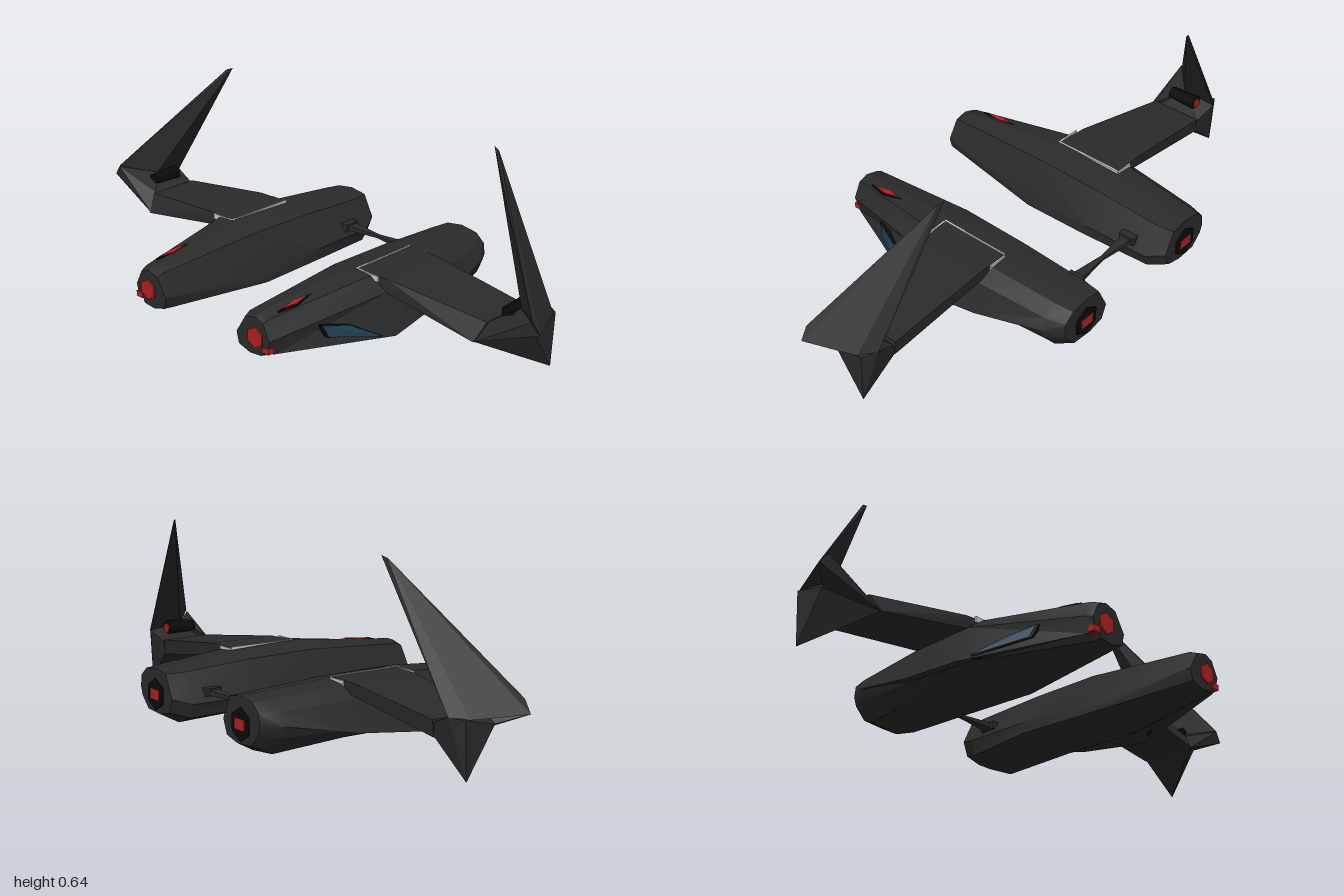
import * as THREE from 'three';
import { toCreasedNormals } from 'three/addons/utils/BufferGeometryUtils.js';
import { ConvexGeometry } from 'three/addons/geometries/ConvexGeometry.js';

const paint = (color) => new THREE.MeshStandardMaterial({ color });
const dark = paint(0x2b2b2b);
const black = paint(0x0b0b0b);
const red = paint(0xb02222);
const blue = paint(0x1f3d52);
const grey = paint(0xcccccc);

function add(parent, name, geometry, material, x = 0, y = 0, z = 0) {
  const mesh = new THREE.Mesh(geometry, material);
  mesh.name = name;
  mesh.position.set(x, y, z);
  parent.add(mesh);
  return mesh;
}

// Flat-faced solid around a few corner points
function solid(parent, name, points, material = dark) {
  return add(parent, name, new ConvexGeometry(points.map((p) => new THREE.Vector3(...p))), material);
}

// Skin through cross-sections listed from front to back, closed at both ends
function loft(sections) {
  const n = sections[0].ring.length;
  const last = sections.length - 1;
  const pos = [];
  const index = [];
  for (const { z, ring } of sections) for (const [x, y] of ring) pos.push(x, y, z);
  for (let i = 0; i < last; i++) {
    for (let j = 0; j < n; j++) {
      const a = i * n + j, b = i * n + (j + 1) % n;
      index.push(a, b, a + n, b, b + n, a + n);
    }
  }
  for (const i of [0, last]) {
    const { z, ring } = sections[i];
    const centre = pos.length / 3;
    pos.push(ring.reduce((s, p) => s + p[0], 0) / n, ring.reduce((s, p) => s + p[1], 0) / n, z);
    for (let j = 0; j < n; j++) {
      const a = i * n + j, b = i * n + (j + 1) % n;
      if (i === 0) index.push(centre, b, a);
      else index.push(centre, a, b);
    }
  }
  const geometry = new THREE.BufferGeometry();
  geometry.setAttribute('position', new THREE.Float32BufferAttribute(pos, 3));
  geometry.setIndex(index);
  return toCreasedNormals(geometry, 0.45);
}

// Rings run: inner top, ridge, outer top, shoulder, skirt, groove, belly, keel, inner edge, inner side
const hullSections = [
  { z: 0.505, ring: [[0.21, 0.165], [0.255, 0.177], [0.29, 0.165], [0.318, 0.11], [0.305, 0.065], [0.29, 0.075], [0.28, 0.05], [0.23, 0.045], [0.18, 0.06], [0.17, 0.1]] },
  { z: 0.48, ring: [[0.205, 0.175], [0.255, 0.187], [0.295, 0.175], [0.327, 0.115], [0.318, 0.06], [0.3, 0.07], [0.285, 0.046], [0.23, 0.042], [0.178, 0.057], [0.168, 0.1]] },
  { z: 0.08, ring: [[0.19, 0.2], [0.28, 0.222], [0.36, 0.215], [0.42, 0.17], [0.472, 0.035], [0.41, 0.055], [0.36, 0.03], [0.23, 0.018], [0.125, 0.035], [0.128, 0.06]] },
  { z: -0.18, ring: [[0.19, 0.195], [0.28, 0.212], [0.36, 0.205], [0.41, 0.165], [0.445, 0.06], [0.41, 0.065], [0.36, 0.03], [0.23, 0.008], [0.125, 0.04], [0.125, 0.08]] },
  { z: -0.44, ring: [[0.19, 0.18], [0.27, 0.195], [0.34, 0.185], [0.385, 0.15], [0.405, 0.11], [0.39, 0.07], [0.34, 0.01], [0.23, 0], [0.15, 0.03], [0.13, 0.08]] },
  { z: -0.505, ring: [[0.2, 0.18], [0.265, 0.19], [0.33, 0.18], [0.365, 0.15], [0.37, 0.11], [0.36, 0.08], [0.32, 0.04], [0.24, 0.035], [0.18, 0.05], [0.16, 0.1]] },
];

// Thin six-sided disc facing along z
const hexDisc = (r, depth) => new THREE.CylinderGeometry(r, r, depth, 6).rotateX(Math.PI / 2);

function createSide() {
  const side = new THREE.Group();
  add(side, 'hull', loft(hullSections), dark);

  // Nose lamp, side lamp and rear engine
  add(side, 'noseLamp', hexDisc(0.036, 0.01), red, 0.257, 0.107, 0.505);
  add(side, 'noseSideLamp', new THREE.BoxGeometry(0.03, 0.02, 0.04), red, 0.302, 0.075, 0.488);
  add(side, 'enginePlate', hexDisc(0.055, 0.012), black, 0.265, 0.1, -0.504);
  add(side, 'engineGlow', new THREE.BoxGeometry(0.055, 0.035, 0.008), red, 0.265, 0.1, -0.508);

  // Diamond lamp on the upper hull, on a black surround
  for (const [name, w, l, y, mat] of [['topLampFrame', 0.016, 0.075, 0, black], ['topLamp', 0.011, 0.06, 0.004, red]]) {
    const points = [];
    for (const dy of [-0.03, 0.004]) {
      points.push([0.292 - w, 0.186 + y + dy, 0.365], [0.292 + w, 0.186 + y + dy, 0.365]);
      points.push([0.292, 0.183 + y + dy, 0.365 + l], [0.292, 0.194 + y + dy, 0.365 - l]);
    }
    solid(side, name, points, mat);
  }

  // Canopy window on the outer flank
  const pane = [[0.363, 0.12, 0.32], [0.377, 0.08, 0.305], [0.398, 0.1, 0.225], [0.453, 0.046, 0.13]];
  const slab = (out, grow) => pane.flatMap(([x, y, z]) => {
    const cy = 0.085 + (y - 0.085) * grow, cz = 0.24 + (z - 0.24) * grow;
    return [[x + out, cy, cz], [x - 0.025, cy, cz]];
  });
  solid(side, 'windowFrame', slab(0.003, 1.1), black);
  solid(side, 'window', slab(0.008, 1), blue);

  // Wing, deeper at its outer end
  solid(side, 'wing', [
    [0.3, 0.218, 0.078], [0.3, 0.218, -0.183], [0.3, 0.19, 0.078], [0.3, 0.19, -0.183],
    [0.42, 0.216, 0.07], [0.42, 0.216, -0.183],
    [0.79, 0.17, 0.02], [0.79, 0.17, -0.17], [0.77, 0.108, 0.06], [0.79, 0.115, -0.165],
  ]);
  // Pale seam around the wing root
  add(side, 'wingSeam', new THREE.BoxGeometry(0.006, 0.03, 0.268), grey, 0.297, 0.206, -0.052);
  add(side, 'wingSeamFront', new THREE.BoxGeometry(0.095, 0.02, 0.006), grey, 0.343, 0.21, 0.08);
  add(side, 'wingSeamBack', new THREE.BoxGeometry(0.07, 0.02, 0.006), grey, 0.332, 0.206, -0.185);

  // Wing-tip fin: tall upper blade, front rib and short lower blade
  const spike = [0.998, 0.198, 0.03];
  const inner = [0.86, 0.215, -0.06];
  const elbow = [0.922, 0.165, -0.04];
  const joint = [0.77, 0.108, 0.055];
  solid(side, 'upperFin', [
    spike, [0.968, 0.24, 0.033], [0.605, 0.645, -0.222], [0.628, 0.638, -0.215],
    [0.875, 0.195, -0.183], [0.8, 0.34, -0.184], [0.925, 0.19, -0.14], inner,
  ]);
  solid(side, 'finRib', [spike, [0.968, 0.235, 0.036], inner, elbow, joint, [0.79, 0.17, 0.01]]);
  solid(side, 'lowerFin', [
    joint, elbow, inner, [0.92, 0.003, -0.147], [0.923, 0.19, -0.155],
    [0.79, 0.12, -0.165], [0.8, 0.165, -0.17], [0.875, 0.195, -0.18],
  ]);

  // Small thruster in the crook of the fin
  const pod = add(side, 'finThruster', new THREE.CylinderGeometry(0.028, 0.022, 0.11, 6).rotateX(-Math.PI / 2), black, 0.835, 0.205, -0.075);
  add(pod, 'finThrusterGlow', hexDisc(0.018, 0.008), red, 0, 0, -0.056);
  return side;
}

export function createModel() {
  const model = new THREE.Group();
  model.name = 'twinHullShip';
  for (const s of [1, -1]) {
    const side = createSide();
    side.name = s > 0 ? 'leftSide' : 'rightSide';
    side.scale.x = s;
    // Half of the waisted bar joining the hulls
    const bar = [];
    for (const [x, h, d] of [[0, 0.005, 0.007], [0.13, 0.009, 0.02]]) {
      for (const a of [-1, 1]) for (const b of [-1, 1]) bar.push([x, 0.112 + a * h, -0.36 + b * d]);
    }
    solid(side, 'connectingBar', bar);
    add(side, 'barSocket', new THREE.BoxGeometry(0.045, 0.028, 0.06), dark, 0.15, 0.113, -0.36);
    model.add(side);
  }
  return model;
}
